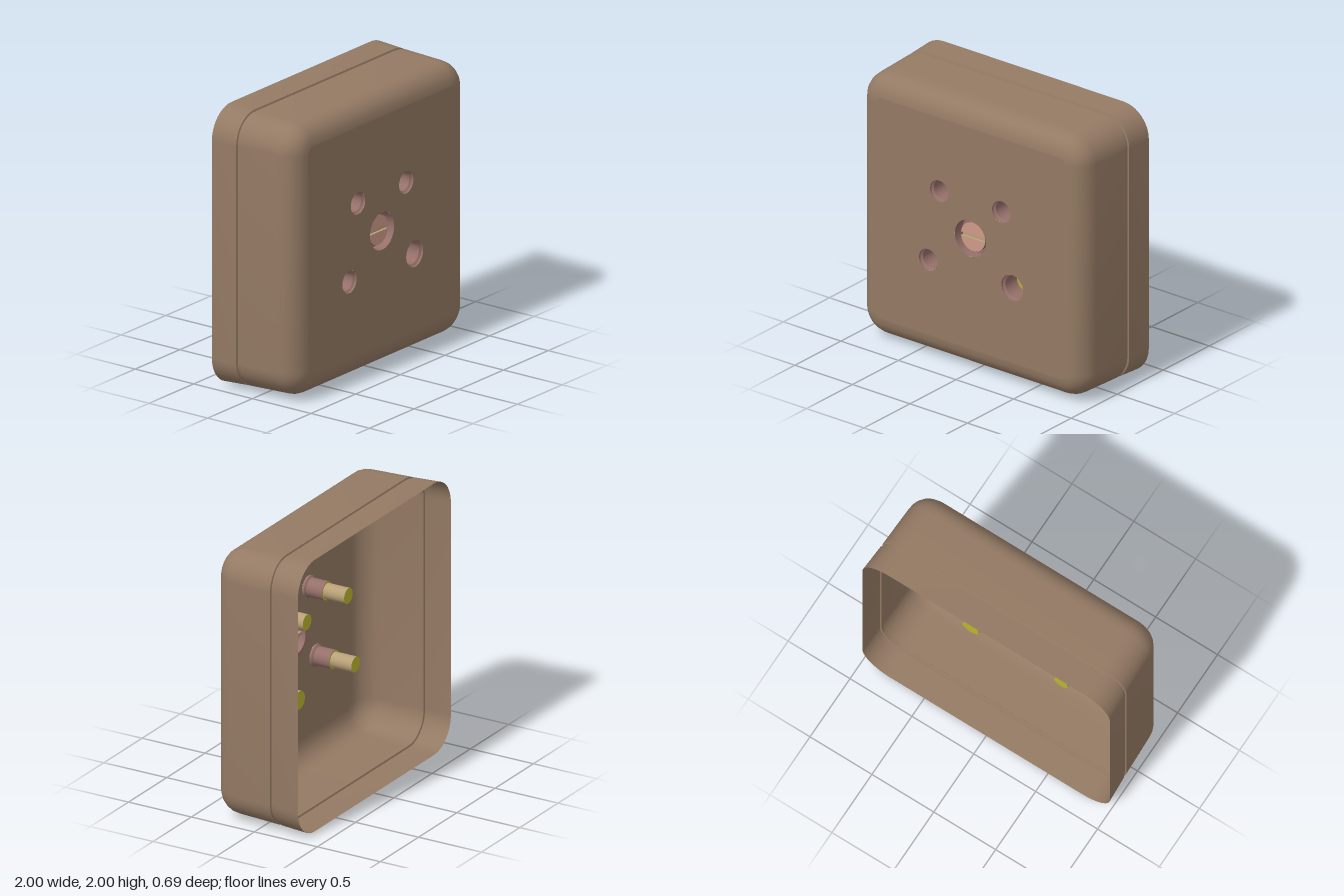
import * as THREE from 'three';
import { toCreasedNormals } from 'three/addons/utils/BufferGeometryUtils.js';

const FRONT = 0.345, BACK = -0.345, CORNER = 0.22, FILLET = 0.15;
const paint = (color) => new THREE.MeshStandardMaterial({ color, side: THREE.DoubleSide });
const housingMat = paint(0x947a64);
const wallMat = paint(0x96706a);
const tubeMat = paint(0xb8a078);
const yellowMat = paint(0xb8b52c);
const discMat = paint(0xcf9a88);

// Sockets: x, y, hole radius
const SOCKETS = [[-0.27, 1.275, 0.08], [0.27, 1.275, 0.08], [-0.365, 0.735, 0.08], [0.365, 0.735, 0.095]];
const CUP = 0.135;

// Rounded-square outline, counter-clockwise, centred on the origin
function outline(half) {
  const radius = Math.max(CORNER - (1 - half), 0.05), c = half - radius, pts = [], n = 10;
  for (let q = 0; q < 4; q++) {
    const sx = q === 0 || q === 3 ? 1 : -1, sy = q < 2 ? 1 : -1;
    for (let i = 0; i <= n; i++) {
      const a = (q + i / n) * Math.PI / 2;
      pts.push(new THREE.Vector2(sx * c + radius * Math.cos(a), sy * c + radius * Math.sin(a)));
    }
  }
  return pts;
}

function mesh(name, geometry, material) {
  const m = new THREE.Mesh(geometry, material);
  m.name = name;
  return m;
}

// Surface of revolution about z; points are [radius, depth behind the front face]
function turned(name, points, material) {
  const g = new THREE.LatheGeometry(points.map(([r, d]) => new THREE.Vector2(r, -d)), 32);
  g.rotateX(Math.PI / 2);
  return mesh(name, toCreasedNormals(g, 0.5), material);
}

// Open-backed tapered wall with a groove and a rounded front edge
function housingWall() {
  const sections = [[1, BACK], [0.988, -0.147], [0.975, -0.143], [0.975, -0.121], [0.987, -0.117]];
  const side = 0.975;
  for (let i = 0; i <= 6; i++) {
    const a = i / 6 * Math.PI / 2;
    sections.push([side - FILLET * (1 - Math.cos(a)), FRONT - FILLET * (1 - Math.sin(a))]);
  }
  const pos = [], index = [];
  let n = 0;
  for (const [half, z] of sections) {
    const loop = outline(half);
    n = loop.length;
    for (const p of loop) pos.push(p.x, p.y + 1, z);
  }
  for (let j = 0; j < sections.length - 1; j++) {
    for (let i = 0; i < n; i++) {
      const a = j * n + i, b = j * n + (i + 1) % n;
      index.push(a, b, b + n, a, b + n, a + n);
    }
  }
  const g = new THREE.BufferGeometry();
  g.setAttribute('position', new THREE.Float32BufferAttribute(pos, 3));
  g.setIndex(index);
  return mesh('housingWall', toCreasedNormals(g, 0.55), housingMat);
}

// Flat front pierced by the sockets and the centre cup
function frontPanel() {
  const shape = new THREE.Shape(outline(0.975 - FILLET));
  for (const [x, y, r] of [...SOCKETS, [0, 1, CUP]]) {
    shape.holes.push(new THREE.Path().absarc(x, y - 1, r, 0, Math.PI * 2, true));
  }
  const g = new THREE.ShapeGeometry(shape, 32);
  g.translate(0, 1, FRONT);
  return mesh('frontPanel', g, housingMat);
}

// Stepped hollow sleeve with a closed rear end
function socket([x, y, r]) {
  const g = new THREE.Group();
  g.name = 'socket';
  const outer = r * 0.84, inner = r * 0.7, step = 0.15, end = 0.32;
  g.add(
    turned('socketMouth', [[r, 0], [r, 0.015], [outer, 0.025], [outer, step]], wallMat),
    turned('socketStep', [[outer, step], [inner, step]], yellowMat),
    turned('socketTube', [[inner, step], [inner, end]], tubeMat),
    turned('socketEnd', [[inner, end], [0, end]], yellowMat)
  );
  g.position.set(x, y, FRONT);
  return g;
}

// Recessed cup holding a slotted screw head
function centreScrew() {
  const g = new THREE.Group();
  g.name = 'centreScrew';
  const r = 0.105, top = 0.03, slot = 0.013, slotDepth = 0.02;
  g.add(turned('screwCup', [[CUP, 0], [CUP, 0.08], [r, 0.08], [r, top]], wallMat));
  const start = Math.asin(slot / r);
  const half = new THREE.Shape().absarc(0, 0, r, start, Math.PI - start, false);
  for (const s of [0, 1]) {
    const head = mesh('screwHeadHalf', new THREE.ShapeGeometry(half, 24), discMat);
    head.rotation.z = s * Math.PI;
    head.position.z = -top;
    const wall = mesh('slotWall', new THREE.PlaneGeometry(2 * r, slotDepth), tubeMat);
    wall.rotation.x = Math.PI / 2;
    wall.position.set(0, s ? -slot : slot, -top - slotDepth / 2);
    g.add(head, wall);
  }
  const floor = mesh('slotFloor', new THREE.PlaneGeometry(2 * r, 2 * slot), tubeMat);
  floor.position.z = -top - slotDepth;
  g.add(floor);
  g.position.set(0, 1, FRONT);
  return g;
}

export function createModel() {
  const model = new THREE.Group();
  model.name = 'socketHousing';
  model.add(housingWall(), frontPanel(), centreScrew(), ...SOCKETS.map(socket));
  return model;
}
